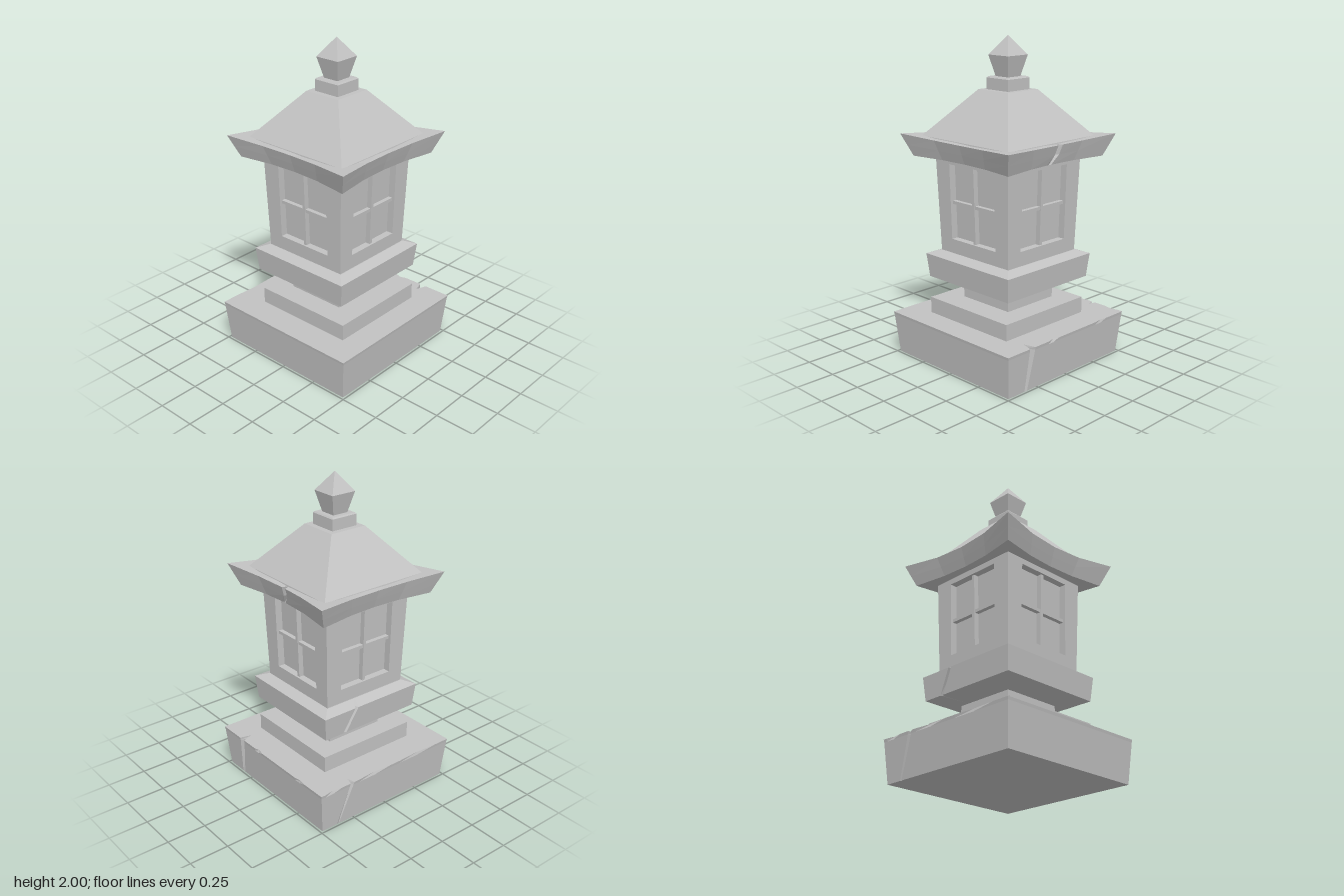
import * as THREE from 'three';

const stone = new THREE.MeshStandardMaterial({ color: 0xc2c2c2, flatShading: true });
stone.name = 'light grey stone';

// Square ring of points; sides run front, right, back, left.
// bow pulls the middle of each side in, dip lowers it, cuts are cracks {side, u, w, d} with u and d per level.
function ring(half, y, { bow = 0, dip = 0, cuts = [], level = 0 } = {}) {
  const points = [];
  for (let side = 0; side < 4; side++) {
    const marks = [[-half, 0]];
    if (bow) for (const t of [-0.45, 0, 0.45]) marks.push([t * half, 0]);
    for (const c of cuts.filter((c) => c.side === side)) {
      const u = c.u[level];
      marks.push([u - c.w, 0], [u, c.d[level]], [u + c.w, 0]);
    }
    marks.sort((a, b) => a[0] - b[0]);
    for (const [u, depth] of marks) {
      const mid = 1 - (u / half) ** 2;
      const v = half - bow * mid - depth;
      const [x, z] = [[u, v], [v, -u], [-u, -v], [-v, u]][side];
      points.push(new THREE.Vector3(x, y - dip * mid, z));
    }
  }
  return points;
}

// Skins a stack of rings and closes both ends.
function loft(rings) {
  const pos = [];
  const tri = (...pts) => pts.forEach((p) => pos.push(p.x, p.y, p.z));
  for (let r = 0; r < rings.length - 1; r++) {
    const lo = rings[r], hi = rings[r + 1], n = lo.length;
    for (let i = 0; i < n; i++) {
      const j = (i + 1) % n;
      tri(lo[i], lo[j], hi[j]);
      tri(lo[i], hi[j], hi[i]);
    }
  }
  const cap = (pts, up) => {
    const flat = pts.map((p) => new THREE.Vector2(p.x, -p.z));
    for (const [a, b, c] of THREE.ShapeUtils.triangulateShape(flat, [])) {
      if (up) tri(pts[a], pts[b], pts[c]);
      else tri(pts[a], pts[c], pts[b]);
    }
  };
  cap(rings[0], false);
  cap(rings[rings.length - 1], true);
  const g = new THREE.BufferGeometry();
  g.setAttribute('position', new THREE.Float32BufferAttribute(pos, 3));
  g.computeVertexNormals();
  return g;
}

// Lofts [half, y] levels, with optional cracks.
const block = (levels, cuts = []) =>
  loft(levels.map(([half, y], level) => ring(half, y, { cuts, level })));

// The lamp walls lean outward towards the top.
const WALL_LOW = 0.67, WALL_HIGH = 1.28;
const wallHalf = (y) => 0.29 + ((y - WALL_LOW) / (WALL_HIGH - WALL_LOW)) * 0.02;
function lean(g) {
  const p = g.attributes.position;
  for (let i = 0; i < p.count; i++) p.setZ(i, p.getZ(i) + wallHalf(p.getY(i)));
  g.computeVertexNormals();
  return g;
}

// One wall with a window opening, mitred at the corners.
function wallGeometry() {
  const depth = 0.05;
  const shape = new THREE.Shape([[-0.29, WALL_LOW], [0.29, WALL_LOW], [0.31, WALL_HIGH], [-0.31, WALL_HIGH]]
    .map(([x, y]) => new THREE.Vector2(x, y)));
  shape.holes.push(new THREE.Path([[-0.19, 0.77], [-0.19, 1.24], [0.19, 1.24], [0.19, 0.77]]
    .map(([x, y]) => new THREE.Vector2(x, y))));
  const g = new THREE.ExtrudeGeometry(shape, { depth, bevelEnabled: false }).translate(0, 0, -depth);
  const p = g.attributes.position;
  for (let i = 0; i < p.count; i++) {
    const x = p.getX(i);
    if (Math.abs(x) > 0.25) p.setX(i, x + Math.sign(x) * p.getZ(i));
  }
  return lean(g);
}

export function createModel() {
  const model = new THREE.Group();
  model.name = 'stoneLantern';
  const add = (name, geometry, parent = model) => {
    const mesh = new THREE.Mesh(geometry, stone);
    mesh.name = name;
    parent.add(mesh);
    return mesh;
  };

  // Base slab with long cracks that fade downward and chipped upper edges
  const chip = (side, u, w, d) => ({ side, u: [u, u, u], w, d: [0, 0, d] });
  add('base', block([[0.485, 0], [0.508, 0.25], [0.511, 0.268]], [
    { side: 1, u: [-0.33, -0.31, -0.31], w: 0.022, d: [0, 0.06, 0.075] },
    { side: 2, u: [-0.36, -0.28, -0.275], w: 0.014, d: [0.005, 0.04, 0.05] },
    chip(1, -0.13, 0.04, 0.012), chip(1, 0.3, 0.05, 0.008),
    chip(2, -0.42, 0.06, 0.01), chip(2, -0.1, 0.12, 0.01), chip(2, 0.25, 0.15, 0.008),
  ]));

  // Step and short pillar
  add('step', block([[0.335, 0.26], [0.335, 0.37]])).position.z = 0.015;
  add('pillar', block([[0.195, 0.36], [0.195, 0.5]]));

  // Tray under the lamp, with a crack at the back
  add('tray', block([[0.2, 0.475], [0.345, 0.505], [0.36, 0.655], [0.295, 0.68]], [
    { side: 2, u: [-0.12, -0.2, -0.12, -0.1], w: 0.012, d: [0, 0.015, 0.03, 0] },
  ]));

  // Lamp housing: four windowed walls around a solid core
  const housing = new THREE.Group();
  housing.name = 'lampHousing';
  model.add(housing);
  add('windowPanes', block([[0.245, WALL_LOW], [0.265, WALL_HIGH]]), housing);
  const wall = wallGeometry();
  const upright = lean(new THREE.BoxGeometry(0.02, 0.49, 0.035).translate(-0.004, 1.005, -0.03));
  const crossbar = lean(new THREE.BoxGeometry(0.4, 0.02, 0.03).translate(0, 1, -0.032));
  for (let side = 0; side < 4; side++) {
    const face = new THREE.Group();
    face.name = 'windowSide';
    face.rotation.y = (side * Math.PI) / 2;
    housing.add(face);
    add('wall', wall, face);
    add('windowUpright', upright, face);
    add('windowCrossbar', crossbar, face);
  }

  // Flared eave with swept corners and a crack on one side
  const eaveCuts = [{ side: 1, u: [-0.025, 0.02, 0.03], w: 0.018, d: [0.005, 0.03, 0.038] }];
  add('eave', loft([
    ring(0.405, 1.275, { bow: 0.045, cuts: eaveCuts, level: 0 }),
    ring(0.432, 1.342, { bow: 0.052, dip: 0.01, cuts: eaveCuts, level: 1 }),
    ring(0.46, 1.412, { bow: 0.06, dip: 0.02, cuts: eaveCuts, level: 2 }),
  ]));

  // Roof, neck and finial
  add('roof', block([[0.37, 1.385], [0.367, 1.4], [0.125, 1.68]]));
  add('neck', block([[0.09, 1.67], [0.09, 1.75], [0.083, 1.758]]));
  add('finial', block([[0.05, 1.75], [0.083, 1.885], [0.0005, 2]]));

  return model;
}
